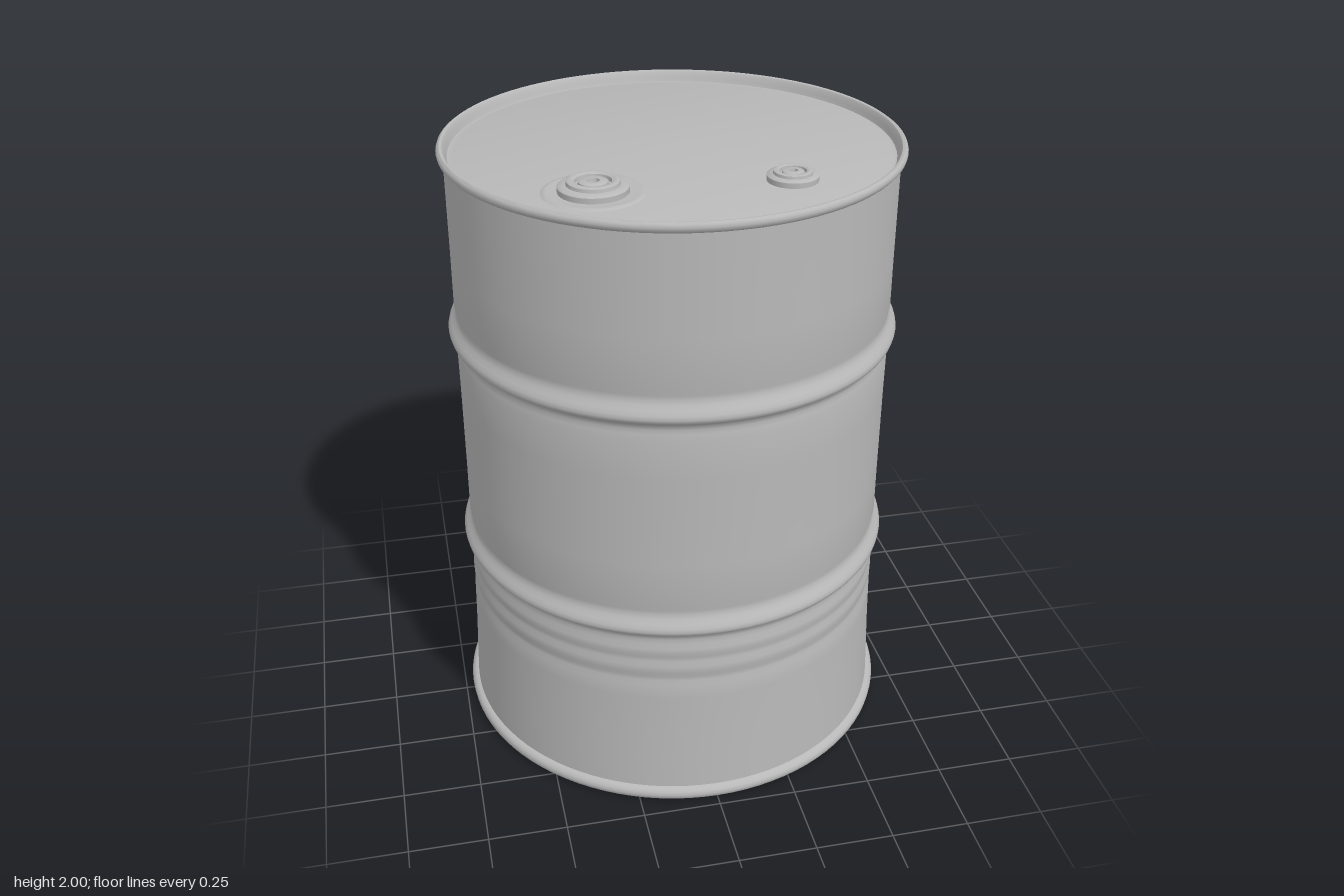
import * as THREE from 'three';
import { toCreasedNormals } from 'three/addons/utils/BufferGeometryUtils.js';

const steel = new THREE.MeshStandardMaterial({ color: 0xb8b8b8 });
steel.name = 'grey steel';

// Surface of revolution; profile of [radius, height] runs up the outside
function turned(name, profile, segments) {
  const points = profile.map(([r, y]) => new THREE.Vector2(r, y));
  const mesh = new THREE.Mesh(toCreasedNormals(new THREE.LatheGeometry(points, segments), 0.7), steel);
  mesh.name = name;
  return mesh;
}

// Rolled hoop standing out of the wall, with a shallow dip on either side
const hoop = (y) => [
  [0.687, y - 0.08], [0.683, y - 0.06], [0.681, y - 0.045], [0.684, y - 0.03], [0.696, y - 0.02],
  [0.706, y - 0.011], [0.709, y], [0.706, y + 0.011], [0.698, y + 0.024],
  [0.688, y + 0.038], [0.683, y + 0.052], [0.683, y + 0.065], [0.687, y + 0.085],
];

// Small swage line
const swage = (y) => [[0.689, y - 0.025], [0.684, y - 0.008], [0.684, y + 0.008], [0.689, y + 0.025]];

// Screw plug: stepped collar, sunken ring and a central boss with a socket
function plug(name, r, h, x, y, z) {
  const mesh = turned(name, [
    [r, 0], [r, h * 0.5], [r * 0.95, h * 0.62], [r * 0.76, h * 0.66],
    [r * 0.74, h * 0.92], [r * 0.68, h], [r * 0.58, h], [r * 0.52, h * 0.9],
    [r * 0.5, h * 0.6], [r * 0.43, h * 0.6], [r * 0.41, h * 0.85],
    [r * 0.36, h * 0.92], [r * 0.18, h * 0.92], [r * 0.15, h * 0.55], [0, h * 0.55],
  ], 40);
  mesh.position.set(x, y, z);
  return mesh;
}

export function createModel() {
  const drum = new THREE.Group();
  drum.name = 'drum';
  const lidY = 1.962;

  drum.add(turned('wall', [
    [0.702, 0.04], [0.698, 0.15], [0.693, 0.28], [0.69, 0.4],
    ...swage(0.475), ...swage(0.55),
    ...hoop(0.67), [0.686, 0.9], [0.686, 1.2],
    ...hoop(1.41), [0.686, 1.65], [0.686, 1.97],
  ], 96));

  // Base with its rolled chime
  drum.add(turned('base', [
    [0, 0.012], [0.69, 0.012], [0.695, 0.004], [0.703, 0], [0.715, 0.004], [0.723, 0.013],
    [0.725, 0.025], [0.721, 0.036], [0.712, 0.043], [0.698, 0.046],
  ], 96));

  // Top chime running inward to the recessed lid
  drum.add(turned('lid', [
    [0.684, 1.962], [0.696, 1.964], [0.703, 1.972], [0.705, 1.981], [0.702, 1.99],
    [0.695, 1.995], [0.687, 1.993], [0.682, 1.986], [0.678, 1.972],
    [0.673, lidY - 0.002], [0.666, lidY - 0.003], [0.656, lidY], [0, lidY],
  ], 96));

  // Low embossed ring around the large plug
  const emboss = turned('plugEmboss', [[0.149, 0], [0.143, 0.004], [0.135, 0.005], [0.125, 0.003], [0.1, 0.003]], 48);
  emboss.position.set(-0.295, lidY, 0.335);
  drum.add(emboss);

  drum.add(plug('largePlug', 0.102, 0.038, -0.295, lidY, 0.335));
  drum.add(plug('smallPlug', 0.075, 0.031, 0.275, lidY, 0.355));
  return drum;
}
